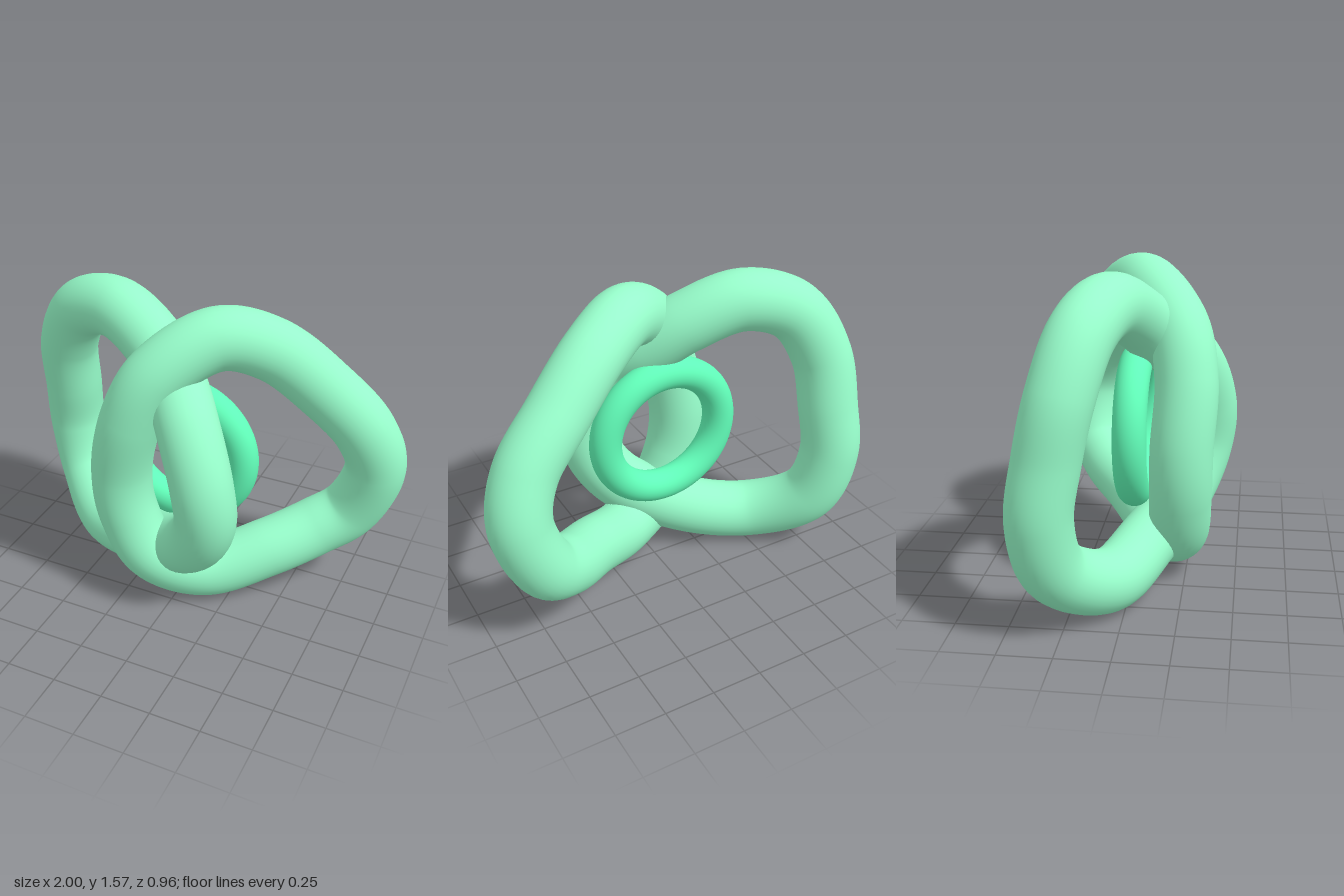
import * as THREE from 'three';

// Smooth closed tube through a ring of centre points
function loop(name, points, radius, material) {
  const curve = new THREE.CatmullRomCurve3(
    points.map(p => new THREE.Vector3(...p)), true, 'centripetal');
  const mesh = new THREE.Mesh(new THREE.TubeGeometry(curve, 200, radius, 32, true), material);
  mesh.name = name;
  return mesh;
}

export function createModel() {
  const group = new THREE.Group();
  group.name = 'linkedLoops';
  const paleGreen = new THREE.MeshStandardMaterial({ color: 0x98ffcc });
  const brightGreen = new THREE.MeshStandardMaterial({ color: 0x62ffba });

  // Loop on the +x side, sweeping from front centre to the back
  group.add(loop('leftLoop', [
    [0.14, 1.41, 0.03], [0.36, 1.345, -0.10], [0.60, 1.14, -0.20], [0.79, 0.93, -0.26],
    [0.85, 0.71, -0.31], [0.74, 0.43, -0.31], [0.60, 0.33, -0.23], [0.40, 0.24, -0.07],
    [0.12, 0.15, 0.11], [-0.12, 0.24, 0.21], [-0.24, 0.46, 0.23], [-0.27, 0.70, 0.235],
    [-0.20, 1.02, 0.25], [-0.09, 1.25, 0.20],
  ], 0.15, paleGreen));

  // Loop on the -x side, threaded through the other one
  group.add(loop('rightLoop', [
    [-0.43, 1.41, -0.08], [-0.67, 1.335, -0.16], [-0.81, 1.10, -0.23], [-0.84, 0.82, -0.29],
    [-0.85, 0.56, -0.325], [-0.77, 0.30, -0.28], [-0.54, 0.15, -0.08], [-0.20, 0.21, 0.07],
    [0.10, 0.38, 0.23], [0.21, 0.58, 0.31], [0.20, 0.80, 0.33], [0.09, 1.06, 0.25],
    [-0.03, 1.18, 0.12], [-0.18, 1.31, 0.02],
  ], 0.15, paleGreen));

  // Thin upright ring in the middle
  const ring = new THREE.Mesh(new THREE.TorusGeometry(0.32, 0.08, 32, 96), brightGreen);
  ring.name = 'centreRing';
  ring.position.set(-0.05, 0.755, 0);
  group.add(ring);

  return group;
}
